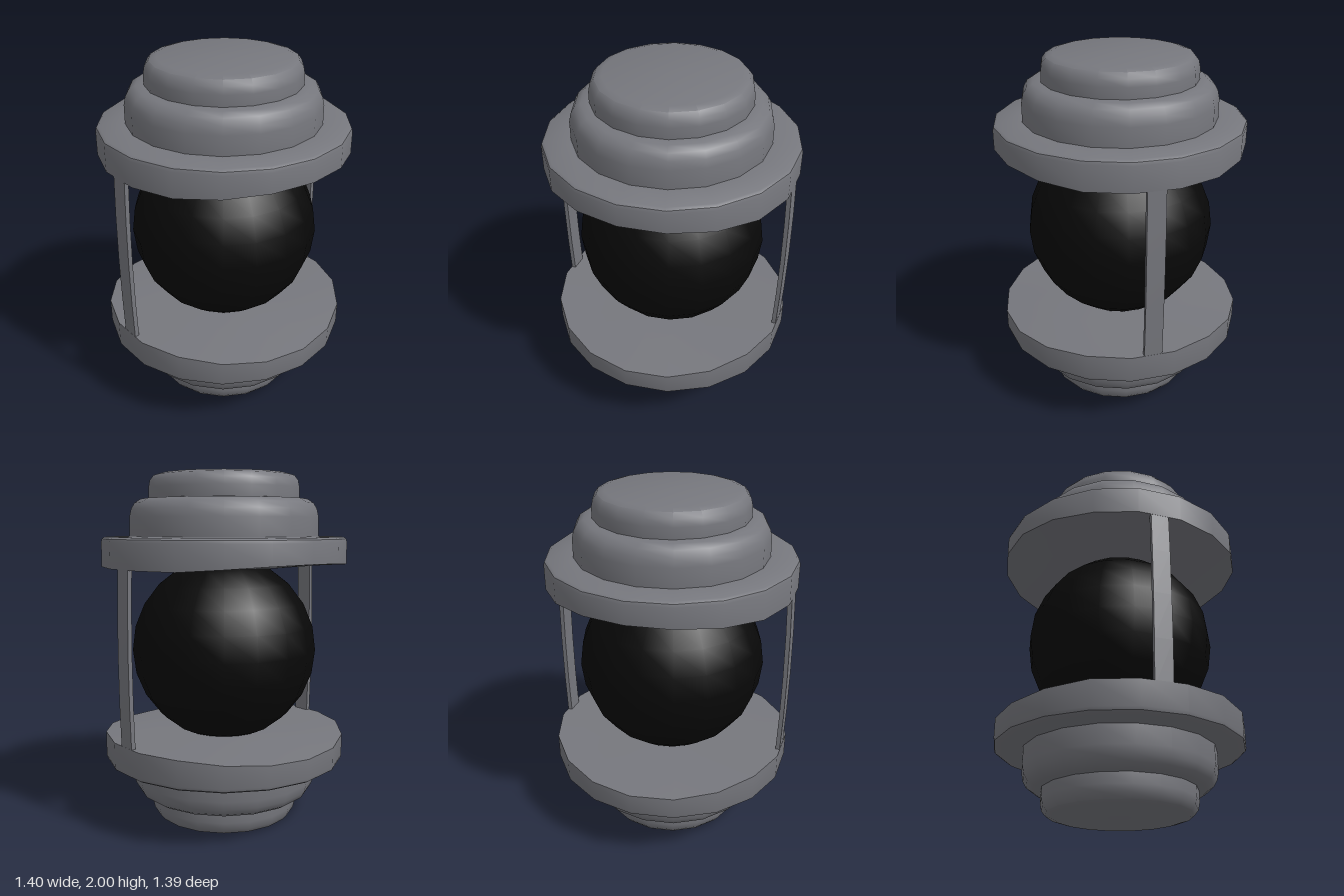
import * as THREE from 'three';
import { toCreasedNormals } from 'three/addons/utils/BufferGeometryUtils.js';

const SIDES = 18;

// Stepped cap: wide flange, shoulder and crown, turned as one profile
function capGeometry() {
  const profile = [
    [0, 1.48], [0.4, 1.48], [0.7, 1.48], [0.7, 1.62], [0.695, 1.637], [0.68, 1.647],
    [0.54, 1.65], [0.54, 1.755], [0.53, 1.80], [0.51, 1.835], [0.475, 1.857],
    [0.43, 1.86], [0.43, 1.92], [0.422, 1.96], [0.40, 1.988], [0.36, 2], [0, 2],
  ].map(([r, y]) => new THREE.Vector2(r, y));
  const geo = new THREE.LatheGeometry(profile, SIDES, Math.PI / 2);

  // The inner face of the flange folds away towards both sides
  const pos = geo.attributes.position;
  for (let i = 0; i < pos.count; i++) {
    if (pos.getY(i) > 1.49) continue;
    const fold = THREE.MathUtils.clamp((Math.abs(pos.getX(i)) - 0.4) / 0.3, 0, 1);
    pos.setY(i, 1.48 + 0.033 * fold);
  }
  return toCreasedNormals(geo, 0.62);
}

// Thin upright that bows slightly outwards at mid height
function strutGeometry() {
  const geo = new THREE.BoxGeometry(0.1, 1.02, 0.025, 1, 4, 1);
  const pos = geo.attributes.position;
  for (let i = 0; i < pos.count; i++) {
    const t = pos.getY(i) / 0.51;
    pos.setZ(i, pos.getZ(i) + 0.675 + 0.01 * (1 - t * t));
  }
  return toCreasedNormals(geo, 0.6);
}

export function createModel() {
  const metal = new THREE.MeshStandardMaterial({ color: 0x76777d });
  metal.name = 'grey metal';
  const black = new THREE.MeshStandardMaterial({ color: 0x080808 });
  black.name = 'black';

  const model = new THREE.Group();
  const add = (name, geo, mat, y = 0) => {
    const mesh = new THREE.Mesh(geo, mat);
    mesh.name = name;
    mesh.position.y = y;
    model.add(mesh);
    return mesh;
  };

  // Matching caps, the lower one turned upside down
  const cap = capGeometry();
  add('topCap', cap, metal);
  add('bottomCap', cap, metal, 2).rotation.x = Math.PI;

  // Ball held between the caps
  add('coreBall', new THREE.SphereGeometry(0.535, SIDES, 12), black, 1);

  // Front and back struts
  const strut = strutGeometry();
  add('frontStrut', strut, metal, 1);
  add('backStrut', strut, metal, 1).rotation.y = Math.PI;

  return model;
}
